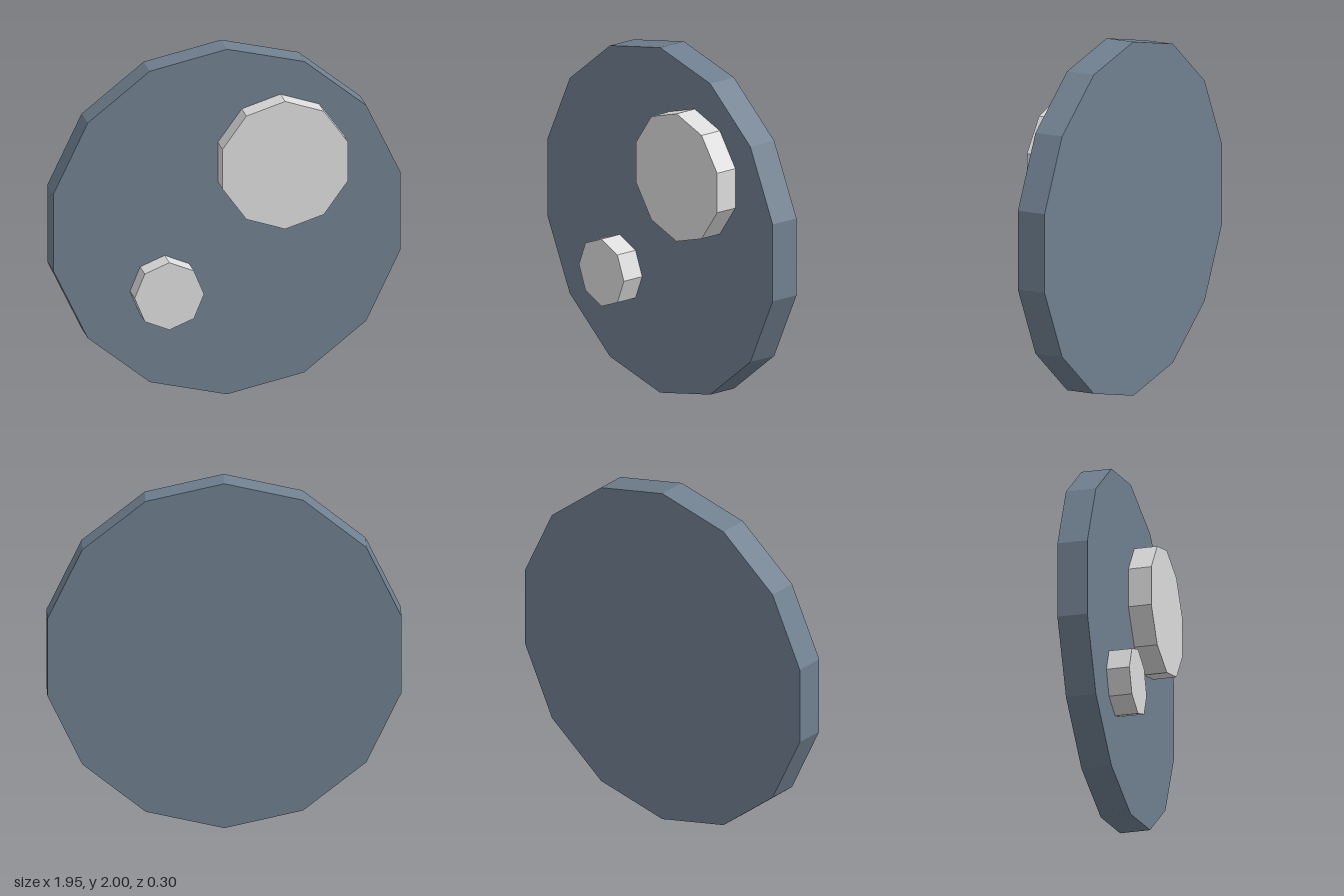
import * as THREE from 'three';

export function createModel() {
  const model = new THREE.Group();
  const slate = new THREE.MeshStandardMaterial({ color: 0x708090, flatShading: true });
  slate.name = 'slate blue';
  const pale = new THREE.MeshStandardMaterial({ color: 0xdcdcdc, flatShading: true });
  pale.name = 'pale grey';

  // Upright many-sided disc, corner at the top, spanning zBack to zFront
  function addDisc(name, material, radius, sides, x, y, zBack, zFront) {
    const geometry = new THREE.CylinderGeometry(radius, radius, zFront - zBack, sides);
    geometry.rotateX(Math.PI / 2);
    const mesh = new THREE.Mesh(geometry, material);
    mesh.name = name;
    mesh.position.set(x, y, (zBack + zFront) / 2);
    model.add(mesh);
  }

  // Large backing plate
  addDisc('backPlate', slate, 1, 14, 0, 1, -0.15, 0.02);
  // Raised discs on the front
  addDisc('largeRaisedDisc', pale, 0.37, 10, 0.3, 1.35, 0, 0.15);
  addDisc('smallRaisedDisc', pale, 0.195, 8, -0.35, 0.633, 0, 0.15);

  return model;
}
